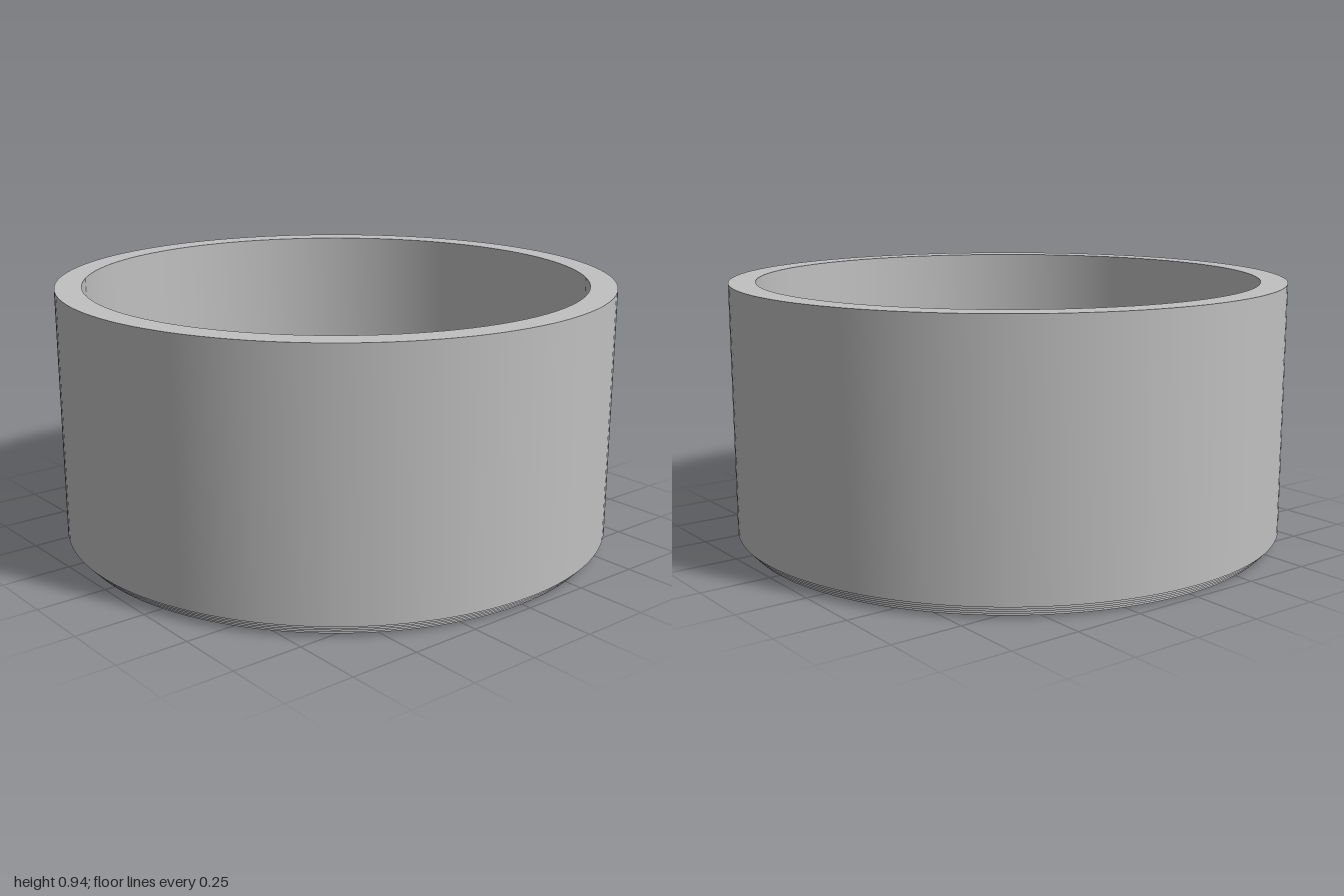
import * as THREE from 'three';
import { toCreasedNormals } from 'three/addons/utils/BufferGeometryUtils.js';

const SEGMENTS = 120;
const HEIGHT = 0.94, FLOOR = 0.155, STEM_TOP = 0.41;

export function createModel() {
  const model = new THREE.Group();
  model.name = 'knob';

  const grey = new THREE.MeshStandardMaterial({ color: 0xc0c0c0 });
  grey.name = 'light grey';

  const add = (name, geometry) => {
    const mesh = new THREE.Mesh(toCreasedNormals(geometry, 0.5), grey);
    mesh.name = name;
    model.add(mesh);
    return mesh;
  };

  // Cup: shallow recess underneath, stepped lower edge, straight wall, flat rim and floor
  const profile = [[0, 0.04], [0.84, 0.04], [0.84, 0]];
  const steps = [0.963, 0.973, 0.982, 0.991];
  steps.forEach((r, i) => profile.push([r, i * 0.01], [r, (i + 1) * 0.01]));
  profile.push([1, 0.04], [1, HEIGHT], [0.905, HEIGHT], [0.905, FLOOR], [0, FLOOR]);
  add('cup', new THREE.LatheGeometry(profile.map(([x, y]) => new THREE.Vector2(x, y)), SEGMENTS));

  // Stem: round post on the floor with a cross-shaped socket
  const post = new THREE.Shape().absarc(0, 0, 0.175, 0, Math.PI * 2, false);
  const a = 0.131, w = 0.042, h = 0.038; // arm reach and half widths
  const cross = [
    [w, h], [a, h], [a, -h], [w, -h], [w, -a], [-w, -a],
    [-w, -h], [-a, -h], [-a, h], [-w, h], [-w, a], [w, a],
  ];
  post.holes.push(new THREE.Path(cross.map(([x, y]) => new THREE.Vector2(x, y))));
  const stem = new THREE.ExtrudeGeometry(post, {
    depth: STEM_TOP - FLOOR + 0.005, bevelEnabled: false, curveSegments: 48,
  });
  stem.rotateX(-Math.PI / 2);
  add('stem', stem).position.y = FLOOR - 0.005;

  return model;
}
